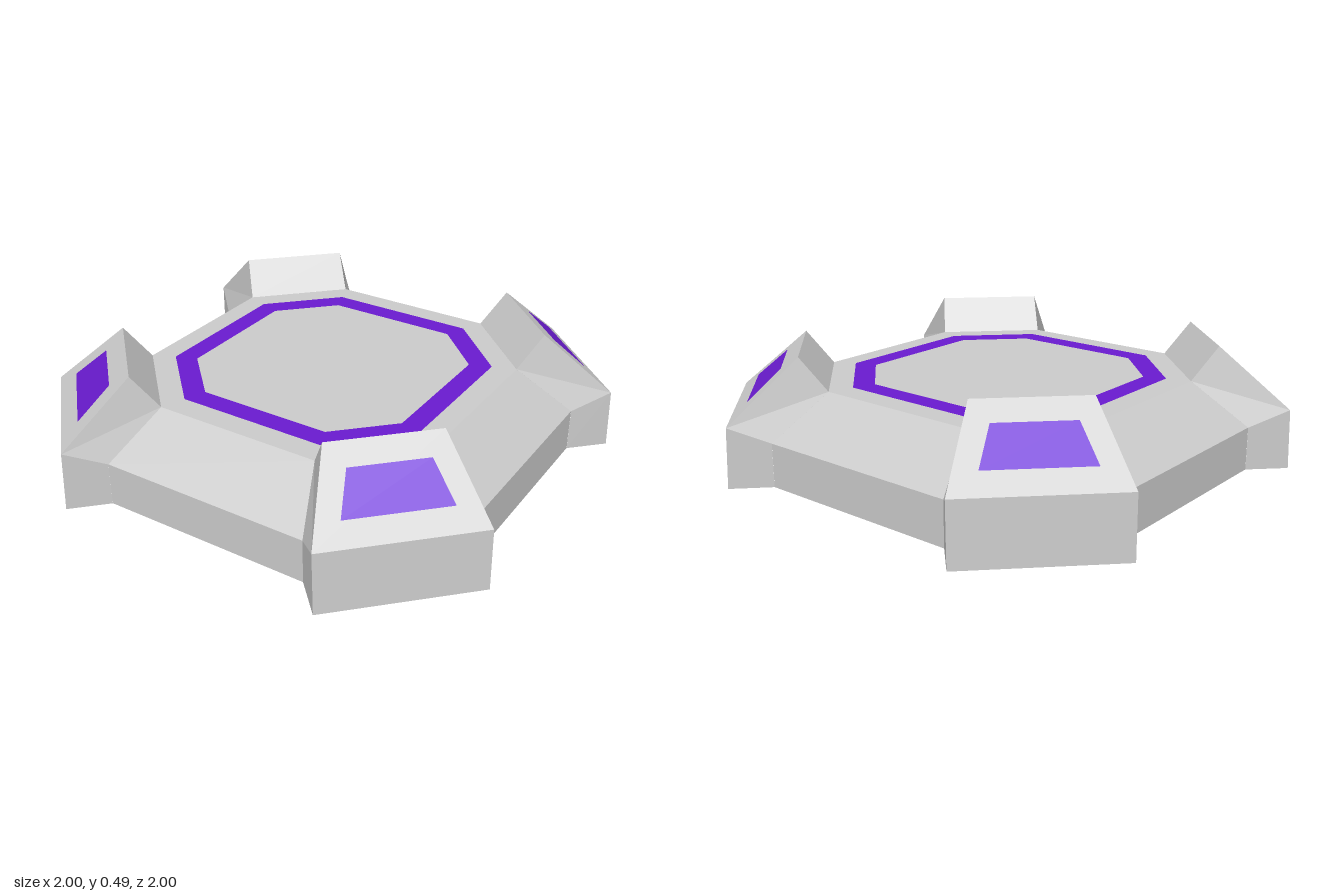
import * as THREE from 'three';

const grey = new THREE.MeshStandardMaterial({ color: 0xcccccc, flatShading: true });
const purple = new THREE.MeshStandardMaterial({ color: 0x6a1bd0, flatShading: true });

// Flat-sided mesh from convex polygons of [x, y, z] corners, counter-clockwise from outside
function polyMesh(name, polygons, material) {
  const pos = [];
  for (const p of polygons) {
    for (let i = 1; i < p.length - 1; i++) pos.push(...p[0], ...p[i], ...p[i + 1]);
  }
  const geo = new THREE.BufferGeometry();
  geo.setAttribute('position', new THREE.Float32BufferAttribute(pos, 3));
  geo.computeVertexNormals();
  const mesh = new THREE.Mesh(geo, material);
  mesh.name = name;
  return mesh;
}

// Chamfered square: side distance a, half length of the straight side c
const octagon = (a, c) => [[-c, a], [c, a], [a, c], [a, -c], [c, -a], [-c, -a], [-a, -c], [-a, c]];

// Platform body: upright walls, then a slope in to the flat top
function createPlatform() {
  const rings = [[0.875, 0.44, 0], [0.875, 0.44, 0.177], [0.66, 0.348, 0.35]]
    .map(([a, c, y]) => octagon(a, c).map(([x, z]) => [x, y, z]));
  const faces = [[...rings[0]].reverse(), rings[2]];
  for (let r = 0; r < 2; r++) {
    for (let i = 0; i < 8; i++) {
      const j = (i + 1) % 8;
      faces.push([rings[r][i], rings[r][j], rings[r + 1][j], rings[r + 1][i]]);
    }
  }
  return polyMesh('platform', faces, grey);
}

// Coloured octagonal band on the platform top
function createBand() {
  const toPoints = (a, c) => octagon(a, c).map(([x, y]) => new THREE.Vector2(x, y));
  const shape = new THREE.Shape(toPoints(0.568, 0.31));
  shape.holes.push(new THREE.Path(toPoints(0.482, 0.277)));
  const band = new THREE.Mesh(new THREE.ShapeGeometry(shape), purple);
  band.name = 'topBand';
  band.rotation.x = -Math.PI / 2;
  band.position.y = 0.353;
  return band;
}

// Corner block pointing along +z, with a sloped outer face and a coloured panel
function createCornerBlock() {
  const side = (s) => [
    [0.309, 0, 1.105],     // outer foot
    [0.310, 0.245, 1.096], // outer rim
    [0.216, 0.49, 0.822],  // ridge
    [0.220, 0.35, 0.713],  // inner foot
    [0.308, 0.177, 0.93],  // joint with platform wall
    [0.308, 0, 0.93],      // joint at the ground
  ].map(([x, y, z]) => [s * x, y, z]);
  const L = side(-1), R = side(1);
  const faces = [];
  for (const i of [0, 1, 2, 5]) {
    const j = (i + 1) % 6;
    faces.push([L[i], R[i], R[j], L[j]]);
  }
  for (const tri of [[0, 5, 4, 1], [1, 4, 3], [1, 3, 2]]) {
    faces.push(tri.map((i) => R[i]));
    faces.push(tri.map((i) => L[i]).reverse());
  }
  const block = new THREE.Group();
  block.add(polyMesh('blockBody', faces, grey));

  // Panel lies just above the sloped face
  const onSlope = (x, z) => [x, 0.245 + (1.096 - z) * (0.245 / 0.274) + 0.003, z + 0.002];
  block.add(polyMesh('blockPanel', [[
    onSlope(-0.198, 1.025), onSlope(0.198, 1.025), onSlope(0.15, 0.895), onSlope(-0.15, 0.895),
  ]], purple));
  return block;
}

export function createModel() {
  const model = new THREE.Group();
  model.name = 'landingPad';
  model.add(createPlatform(), createBand());
  ['frontLeft', 'backLeft', 'backRight', 'frontRight'].forEach((corner, k) => {
    const block = createCornerBlock();
    block.name = corner + 'Block';
    block.rotation.y = Math.PI / 4 + k * Math.PI / 2;
    model.add(block);
  });
  return model;
}
